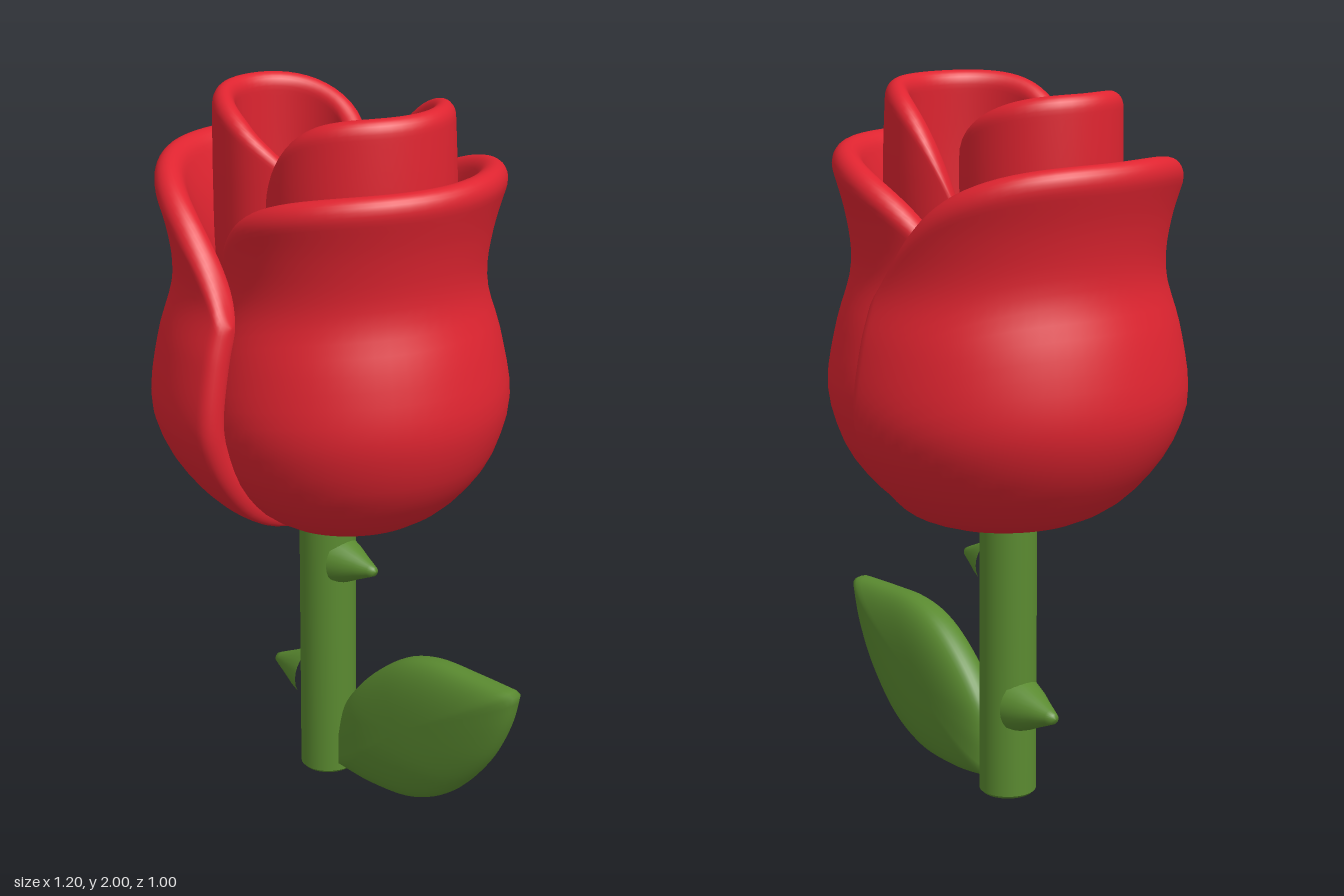
import * as THREE from 'three';
import { mergeVertices } from 'three/addons/utils/BufferGeometryUtils.js';

const red = new THREE.MeshStandardMaterial({ color: 0xdf2430, side: THREE.DoubleSide });
red.name = 'petal red';
const green = new THREE.MeshStandardMaterial({ color: 0x5a8a30 });
green.name = 'stem green';

const v2 = (pts) => pts.map(([x, y]) => new THREE.Vector2(x, y));

// Smooth surface from a grid of points; f(i, j) returns a Vector3
function grid(f, ni, nj) {
  const pos = [], idx = [];
  for (let i = 0; i <= ni; i++)
    for (let j = 0; j <= nj; j++) pos.push(...f(i / ni, j / nj).toArray());
  for (let i = 0; i < ni; i++)
    for (let j = 0; j < nj; j++) {
      const a = i * (nj + 1) + j, b = a + 1, c = a + nj + 1, d = c + 1;
      idx.push(a, b, c, b, d, c);
    }
  let g = new THREE.BufferGeometry();
  g.setAttribute('position', new THREE.Float32BufferAttribute(pos, 3));
  g.setIndex(idx);
  g = mergeVertices(g, 1e-5);
  g.computeVertexNormals();
  return g;
}

// Rounded edge: full thickness until the last part of the span, then a round end
function roundEnd(t, width) {
  const x = Math.max(0, (t - 1 + width) / width);
  return Math.sqrt(Math.max(0, 1 - x * x));
}

// Curled shell swept around a vertical axis. side: +1 faces +x, -1 faces -x
function petalGeometry({ profile, side, cx, spread, drop, power, thick, taper = 0, pinch = 0 }) {
  const curve = new THREE.SplineCurve(v2(profile));
  const length = curve.getLength();
  const T = THREE.MathUtils.degToRad(spread);
  const surface = (u, v) => {
    const a = Math.abs(u);
    const p = curve.getPointAt(Math.min(1, Math.max(0, v * (1 - drop * a ** power / length))));
    const r = Math.max(p.x, 0.004) * (1 - taper * a ** 6);
    const c = Math.cos(u * T);
    const narrow = c < 0 ? 1 - pinch * c * c : 1;
    return new THREE.Vector3(cx + side * r * c, p.y, side * r * Math.sin(u * T) * narrow);
  };
  const e = 0.004;
  return grid((i, j) => {
    const u = Math.sin((i * 2 - 1) * Math.PI / 2);
    const psi = (j * 2 - 1) * Math.PI / 2;
    const v = Math.cos(psi);
    const face = psi < 0 ? 1 : -1;
    const va = Math.max(v, e), vb = Math.min(va, 1 - e);
    const dv = surface(u, vb + e).sub(surface(u, vb - e));
    const du = surface(Math.min(u + e, 1), va).sub(surface(Math.max(u - e, -1), va));
    const n = dv.cross(du).normalize();
    const k = roundEnd(Math.abs(u), 0.05) * roundEnd(v, 0.04);
    return surface(u, v).addScaledVector(n, thick / 2 * (face * k - 1));
  }, 64, 72);
}

export function createModel() {
  const model = new THREE.Group();
  const add = (name, geometry, material) => {
    const m = new THREE.Mesh(geometry, material);
    m.name = name;
    model.add(m);
    return m;
  };

  // Two outer petals, the left one overlapping the right one
  add('outerPetalRight', petalGeometry({
    side: -1, cx: -0.1, spread: 94, drop: 0.38, power: 3, thick: 0.085,
    profile: [[0, 0.8], [0.18, 0.805], [0.32, 0.865], [0.43, 0.98], [0.49, 1.1], [0.5, 1.2],
      [0.475, 1.35], [0.435, 1.5], [0.45, 1.65], [0.505, 1.82]],
  }), red);
  add('outerPetalLeft', petalGeometry({
    side: 1, cx: -0.04, spread: 124, drop: 0.27, power: 3.5, thick: 0.085, taper: 0.12,
    profile: [[0, 0.795], [0.15, 0.803], [0.28, 0.865], [0.385, 0.98], [0.435, 1.1], [0.447, 1.2],
      [0.42, 1.35], [0.38, 1.5], [0.395, 1.65], [0.445, 1.82]],
  }), red);

  // Two inner petals curled into each other
  add('innerPetalRight', petalGeometry({
    side: -1, cx: -0.24, spread: 166, drop: 0.4, power: 2.9, thick: 0.062, pinch: 0.4,
    profile: [[0, 1.1], [0.1, 1.13], [0.18, 1.27], [0.218, 1.5], [0.224, 1.75], [0.222, 2]],
  }), red);
  add('innerPetalLeft', petalGeometry({
    side: 1, cx: 0, spread: 136, drop: 0.42, power: 4.5, thick: 0.065, taper: 0.1,
    profile: [[0, 1.1], [0.12, 1.13], [0.22, 1.27], [0.26, 1.5], [0.267, 1.75], [0.258, 2]],
  }), red);

  // Stem with a small socket in its foot
  const stem = add('stem', new THREE.LatheGeometry(v2([
    [0, 0.06], [0.045, 0.06], [0.045, 0.06], [0.045, 0], [0.045, 0], [0.072, 0],
    [0.072, 0], [0.08, 0.008], [0.08, 0.008], [0.08, 0.86],
  ]), 32), green);
  stem.position.x = -0.12;

  // Thorns: blunt flared cones pointing sideways
  const thorn = (name, x, y, dir, r, len) => {
    const g = new THREE.LatheGeometry(v2([
      [r * 1.1, 0], [r * 0.9, len * 0.25], [r * 0.6, len * 0.55], [r * 0.32, len * 0.85],
      [r * 0.2, len * 0.97], [0, len],
    ]), 24);
    const m = add(name, g, green);
    m.position.set(x, y, 0);
    m.rotation.z = -dir * Math.PI / 2;
  };
  thorn('upperThorn', -0.06, 0.66, 1, 0.062, 0.13);
  thorn('lowerThorn', -0.18, 0.27, -1, 0.07, 0.15);

  // Leaf: pillow-shaped blade, outline shrinking towards both faces
  const lower = new THREE.SplineCurve(v2([
    [-0.06, 0.02], [0.08, 0.006], [0.24, 0.02], [0.38, 0.09], [0.5, 0.22], [0.57, 0.35], [0.6, 0.46]]));
  const upper = new THREE.SplineCurve(v2([
    [0.6, 0.46], [0.45, 0.466], [0.3, 0.466], [0.18, 0.43], [0.06, 0.34], [-0.03, 0.23], [-0.06, 0.12]]));
  const outline = new THREE.CurvePath();
  outline.add(lower);
  outline.add(upper);
  outline.add(new THREE.LineCurve(new THREE.Vector2(-0.06, 0.12), new THREE.Vector2(-0.06, 0.02)));
  add('leaf', grid((i, j) => {
    const p = outline.getPoint(i);
    const phi = (j - 0.5) * Math.PI;
    const s = Math.max(0, Math.cos(phi)) ** 0.7;
    const z = -0.075 * Math.sign(phi) * Math.abs(Math.sin(phi)) ** 0.8;
    return new THREE.Vector3(0.22 + (p.x - 0.22) * s, 0.24 + (p.y - 0.24) * s, z);
  }, 72, 24), green);

  return model;
}
